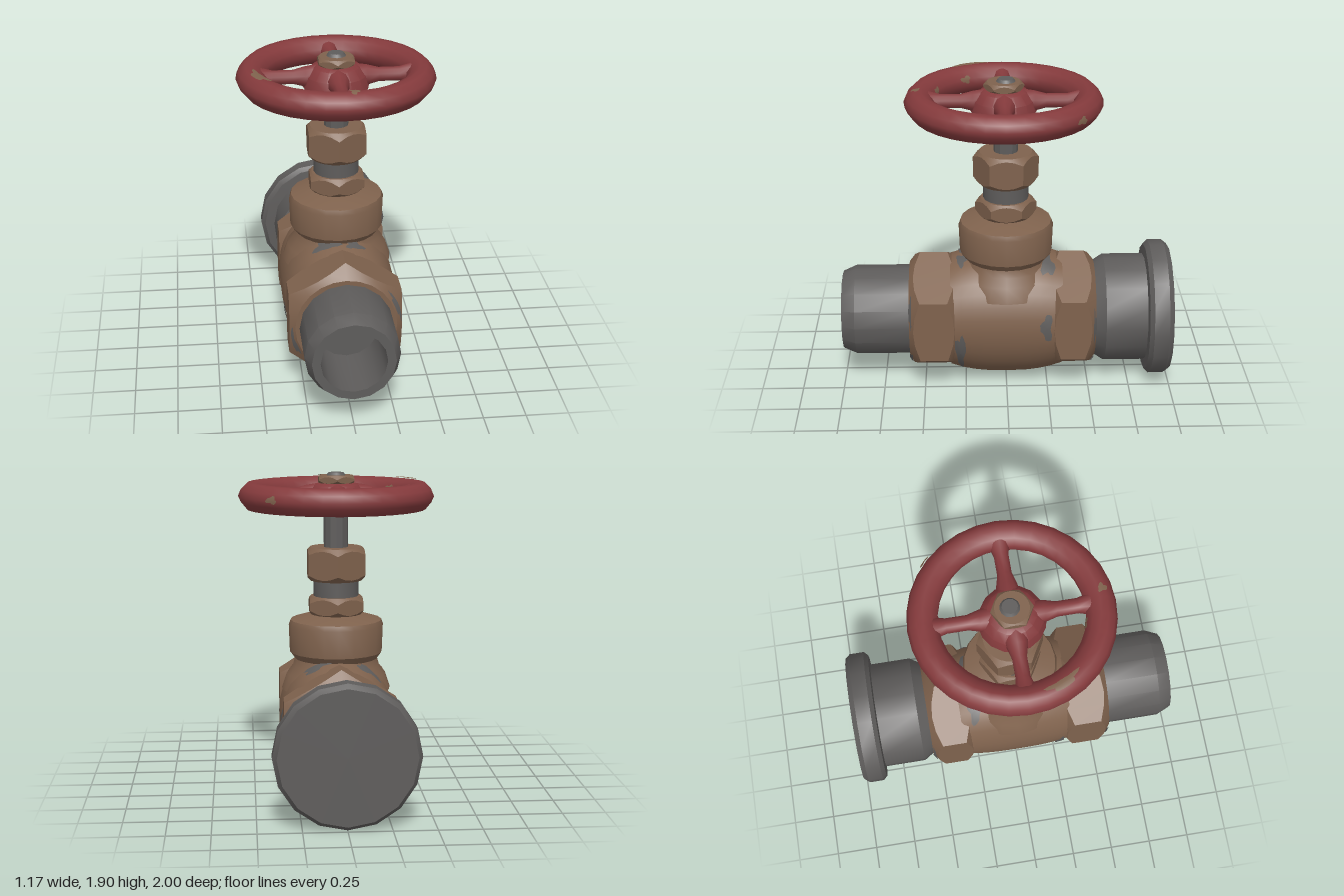
import * as THREE from 'three';
import { toCreasedNormals } from 'three/addons/utils/BufferGeometryUtils.js';

const AXIS = 0.42; // height of the pipe centre line

export function createModel() {
  const model = new THREE.Group();
  model.name = 'gateValve';
  const mat = (name, color) => {
    const m = new THREE.MeshStandardMaterial({ color, side: THREE.DoubleSide });
    m.name = name;
    return m;
  };
  const bronze = mat('bronze', 0x7f624d);
  const steel = mat('steel', 0x5e5c5b);
  const red = mat('redPaint', 0x843a3c);

  const add = (name, geo, material, parent = model) => {
    const mesh = new THREE.Mesh(geo, material);
    mesh.name = name;
    parent.add(mesh);
    return mesh;
  };
  // Turned part: profile of [radius, height] pairs, bottom to top
  const turned = (profile, sides, crease = 0.5) =>
    toCreasedNormals(new THREE.LatheGeometry(profile.map(p => new THREE.Vector2(...p)), sides), crease);

  // Hexagonal nut with cone-trimmed corners, standing from y0 to y1
  const nutGeometry = (apothem, endRadius, slope, y0, y1) => {
    const sides = 24, rows = 6;
    const geo = new THREE.LatheGeometry(Array.from({ length: rows }, () => new THREE.Vector2(1, 0)), sides);
    const pos = geo.attributes.position;
    for (let i = 0; i <= sides; i++) {
      const a = (i / sides) * Math.PI * 2;
      const r = apothem / Math.cos((a % (Math.PI / 3)) - Math.PI / 6);
      const d = (r - endRadius) / slope;
      const section = [[0, y0], [endRadius, y0], [r, y0 + d], [r, y1 - d], [endRadius, y1], [0, y1]];
      section.forEach(([q, y], j) => pos.setXYZ(i * rows + j, q * Math.sin(a), y, q * Math.cos(a)));
    }
    return toCreasedNormals(geo, 0.3);
  };

  // Worn patch: an uneven blob laid on a surface function of (u, v)
  const patchGeometry = (surface, u, v, du, dv, seed = 0) => {
    const n = 18, rings = 4, pts = [], idx = [];
    for (let k = 0; k <= rings; k++) for (let i = 0; i < n; i++) {
      const a = (i / n) * Math.PI * 2;
      const r = (k / rings) * (0.8 + 0.2 * Math.sin(3 * a + seed) + 0.12 * Math.sin(5 * a + seed * 2));
      pts.push(...surface(u + du * r * Math.cos(a), v + dv * r * Math.sin(a)));
      if (k < rings) {
        const p = k * n + i, q = k * n + (i + 1) % n;
        idx.push(p, p + n, q, q, p + n, q + n);
      }
    }
    const geo = new THREE.BufferGeometry();
    geo.setAttribute('position', new THREE.Float32BufferAttribute(pts, 3));
    geo.setIndex(idx);
    geo.computeVertexNormals();
    // make the blob face away from the part's centre line
    return geo;
  };

  // Pipe run, turned along z
  const run = new THREE.Group();
  run.name = 'pipeRun';
  run.position.y = AXIS;
  run.rotation.x = Math.PI / 2;
  model.add(run);
  add('frontPipe', turned([[0.26, 0.5], [0.275, 0.58], [0.275, 0.92], [0.24, 1], [0.19, 1], [0.19, 0.6], [0, 0.6]], 16), steel, run);
  add('backPipe', turned([[0, -1], [0.39, -1], [0.415, -0.97], [0.415, -0.88], [0.39, -0.855], [0.33, -0.85],
    [0.33, -0.6], [0.285, -0.53]], 16), steel, run);
  add('frontNut', nutGeometry(0.332, 0.3, 1.25, 0.29, 0.59), bronze, run);
  add('backNut', nutGeometry(0.332, 0.3, 1.25, -0.54, -0.26), bronze, run);

  // Bulging body, oval in section
  const bulge = z => Math.sqrt(Math.max(0, 1 - (Math.max(0, Math.abs(z) - 0.06) / 0.5) ** 2));
  const bodyPoint = (a, z, lift = 0) => {
    const b = bulge(z);
    return [(0.23 + 0.115 * b + lift) * Math.sin(a), AXIS + (0.1 + 0.3 * b + lift) * Math.cos(a), z];
  };
  const zs = [-0.34, -0.27, -0.2, -0.13, -0.06, 0.06, 0.13, 0.2, 0.27, 0.34];
  const bodyGeo = new THREE.LatheGeometry(zs.map(z => new THREE.Vector2(1, z)), 32);
  for (let i = 0; i <= 32; i++) zs.forEach((z, j) =>
    bodyGeo.attributes.position.setXYZ(i * zs.length + j, ...bodyPoint(Math.PI - (i / 32) * Math.PI * 2, z)));
  // keep faces pointing outward after the move along z
  bodyGeo.computeVertexNormals();
  add('body', toCreasedNormals(bodyGeo, 0.8), bronze);

  // Bonnet, packing nuts and stem
  add('bonnet', turned([[0.33, 0.6], [0.3, 0.69], [0.262, 0.74], [0.25, 0.785], [0.28, 0.825], [0.286, 0.99],
    [0.275, 1.02], [0.14, 1.06], [0, 1.06]], 20), bronze);
  add('lowerNut', nutGeometry(0.16, 0.15, 1, 1.05, 1.165), bronze);
  add('collar', turned([[0.136, 1.14], [0.136, 1.28]], 16), steel);
  add('glandNut', nutGeometry(0.17, 0.157, 1, 1.26, 1.46), bronze);
  add('stem', turned([[0.073, 1.4], [0.073, 1.87], [0.06, 1.885], [0.045, 1.905], [0, 1.905]], 12), steel);

  // Handwheel
  const wheel = new THREE.Group();
  wheel.name = 'handwheel';
  wheel.position.set(-0.002, 1.768, 0.012);
  model.add(wheel);
  add('rim', turned([[0.46, -0.08], [0.535, -0.078], [0.57, -0.035], [0.585, 0], [0.568, 0.04], [0.53, 0.076],
    [0.49, 0.08], [0.445, 0.06], [0.412, 0.02], [0.412, -0.02], [0.43, -0.06], [0.46, -0.08]], 32, 0.9), red, wheel);
  add('hub', turned([[0, -0.085], [0.18, -0.085], [0.195, -0.06], [0.18, 0.01], [0.14, 0.06], [0.11, 0.074], [0, 0.074]], 16), red, wheel);
  for (let i = 0; i < 4; i++) {
    const spoke = add('spoke', turned([[0.075, 0.1], [0.062, 0.18], [0.043, 0.25], [0.043, 0.37], [0.062, 0.44]], 10, 1), red, wheel);
    spoke.rotation.set(Math.PI / 2, 0, (i * Math.PI) / 2);
  }
  add('hubWasher', turned([[0, -0.09], [0.11, -0.09], [0.11, -0.08]], 16), bronze, wheel);
  add('topNut', nutGeometry(0.105, 0.098, 1, 0.066, 0.12), bronze, wheel);

  // Bare metal showing on the body, as [angle, z, angle size, z size]
  const lifted = (a, z) => bodyPoint(a, z, 0.007);
  [[-0.25, 0.25, 0.28, 0.06], [0.25, 0.27, 0.2, 0.04], [2.0, 0.28, 0.5, 0.035], [1.5, -0.24, 0.28, 0.04],
    [-0.55, -0.25, 0.3, 0.05], [0.4, -0.25, 0.3, 0.05], [-1.8, 0.27, 0.3, 0.04]].forEach((p, i) =>
    add('bodyWear', patchGeometry(lifted, ...p, i), steel));

  // Bare metal on the outer bevels of the pipe nuts
  const bevel = (end, dir) => (a, d) => {
    const r = 0.306 + 1.25 * d;
    return [r * Math.sin(a), AXIS + r * Math.cos(a), end - dir * d];
  };
  [1.2, 2.4, 4.4].forEach((a, i) => {
    add('nutWear', patchGeometry(bevel(0.593, 1), a, 0.012, 0.35, 0.012, i), steel);
    add('nutWear', patchGeometry(bevel(-0.543, -1), a + 0.3, 0.012, 0.35, 0.012, i), steel);
  });

  // Chipped paint on the rim, as [angle round wheel, angle round section, sizes]
  const rimPoint = (a, t) => {
    const r = 0.4985 + 0.093 * Math.cos(t);
    return [r * Math.sin(a), 0.088 * Math.sin(t), r * Math.cos(a)];
  };
  [[-1.15, 1.5, 0.24, 0.35], [0.1, 1.4, 0.06, 0.35], [-1.0, 2.9, 0.1, 0.3], [-0.3, 2.9, 0.1, 0.35],
    [2.4, 0.1, 0.08, 0.3]].forEach((p, i) =>
    add('rimChip', patchGeometry(rimPoint, ...p, i), bronze, wheel));

  return model;
}
